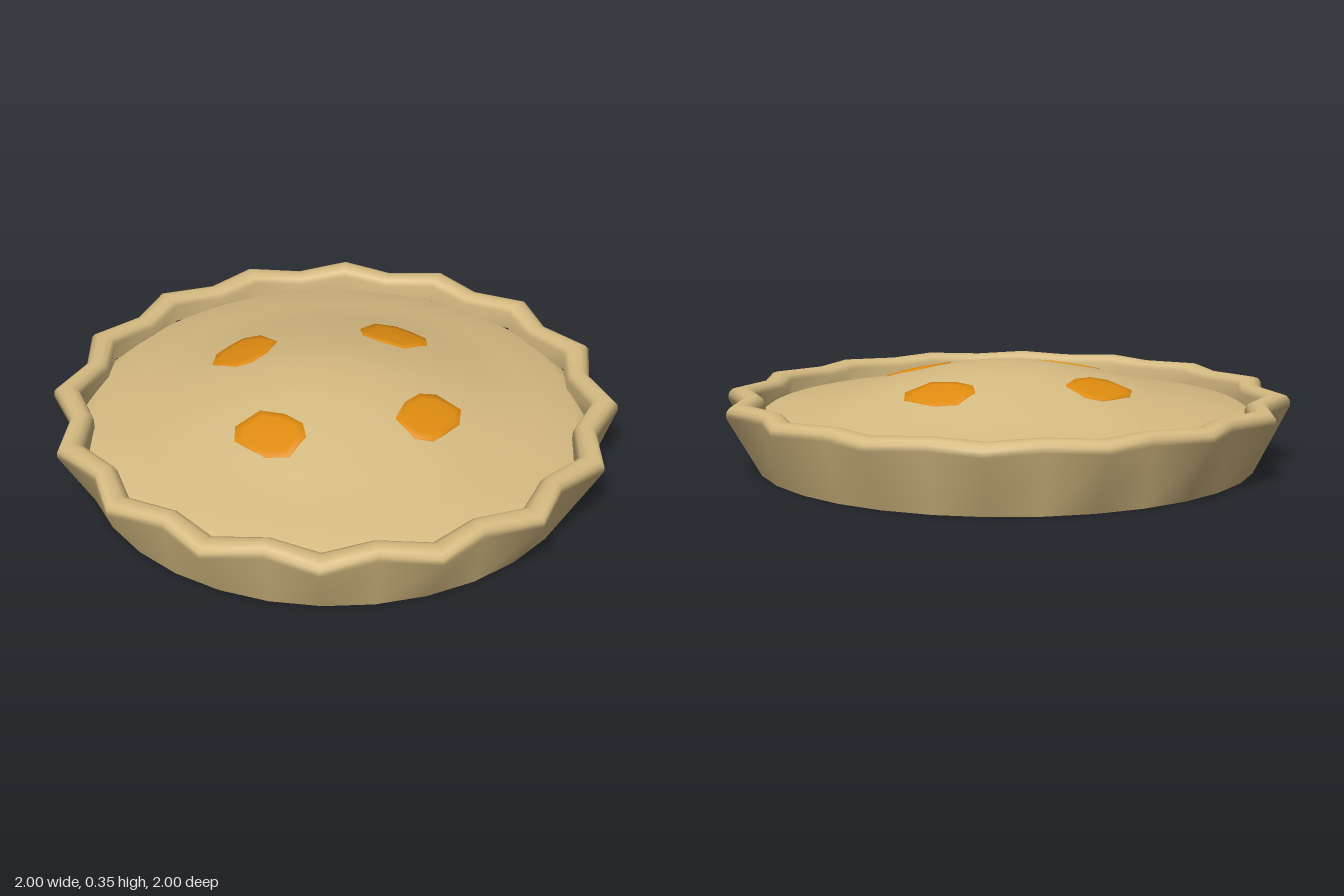
import * as THREE from 'three';

const crustMat = new THREE.MeshStandardMaterial({ color: 0xd6bb82 });
const fruitMat = new THREE.MeshStandardMaterial({ color: 0xe08c10 });

// Skin closed rings of points, listed anticlockwise from above, bottom to top.
function loft(rings) {
  const n = rings[0].length;
  const index = [];
  for (let j = 0; j < rings.length - 1; j++) {
    for (let i = 0; i < n; i++) {
      const k = (i + 1) % n;
      const a = j * n + i, b = j * n + k, c = a + n, d = b + n;
      index.push(a, b, d, a, d, c);
    }
  }
  const geo = new THREE.BufferGeometry();
  geo.setAttribute('position', new THREE.Float32BufferAttribute(rings.flat(2), 3));
  geo.setIndex(index);
  geo.computeVertexNormals();
  return geo;
}

// Domed filling: radius and height from the rim to the middle
const domeProfile = [[0.9, 0.155], [0.85, 0.19], [0.7, 0.213], [0.54, 0.25],
  [0.4, 0.293], [0.2, 0.335], [0.1, 0.346], [0, 0.35]];

function domeHeight(r) {
  for (let i = 1; i < domeProfile.length; i++) {
    const [r0, y0] = domeProfile[i - 1], [r1, y1] = domeProfile[i];
    if (r >= r1) return y0 + (y1 - y0) * (r0 - r) / (r0 - r1);
  }
  return 0.35;
}

export function createModel() {
  const pie = new THREE.Group();
  pie.name = 'pie';
  const add = (name, geo, mat) => {
    const mesh = new THREE.Mesh(geo, mat);
    mesh.name = name;
    pie.add(mesh);
  };

  // Fluted crust: [peak radius, valley radius, height], round base to zigzag rim
  const sections = [[0.88, 0.88, 0], [1, 0.93, 0.21], [0.997, 0.927, 0.23],
    [0.985, 0.917, 0.244], [0.965, 0.9, 0.25], [0.935, 0.875, 0.25],
    [0.913, 0.857, 0.24], [0.902, 0.847, 0.222], [0.9, 0.845, 0.16]];
  const steps = 32;
  add('crust', loft(sections.map(([peak, valley, y]) =>
    Array.from({ length: steps }, (_, i) => {
      const a = (i / steps) * Math.PI * 2;
      const r = i % 2 ? valley : peak;
      return [r * Math.cos(a), y, -r * Math.sin(a)];
    }))), crustMat);

  // Flat underside
  const base = new THREE.CircleGeometry(0.88, steps);
  base.rotateX(Math.PI / 2);
  add('base', base, crustMat);

  // Top crust
  add('topCrust', new THREE.LatheGeometry(
    domeProfile.map(([r, y]) => new THREE.Vector2(r, y)), 64), crustMat);

  // Four fruit windows draped over the dome, a quarter turn apart
  const outline = [[0.2, -0.24], [0.24, -0.17], [0.31, -0.11], [0.41, -0.14],
    [0.43, -0.2], [0.4, -0.26], [0.36, -0.325], [0.29, -0.36], [0.21, -0.3]];
  const centre = [0.315, -0.235];
  const rings = [1, 0.75, 0.5, 0.25, 0].map((s) => outline.map(([px, pz]) => {
    const x = centre[0] + (px - centre[0]) * s;
    const z = centre[1] + (pz - centre[1]) * s;
    return [x, domeHeight(Math.hypot(x, z)) + 0.005, z];
  }));
  // Short skirt that sinks the edge into the crust
  rings.unshift(rings[0].map(([x, y, z]) => [x, y - 0.015, z]));
  for (let i = 0; i < 4; i++) {
    add('fruitWindow' + (i + 1), loft(rings).rotateY(i * Math.PI / 2), fruitMat);
  }
  return pie;
}
